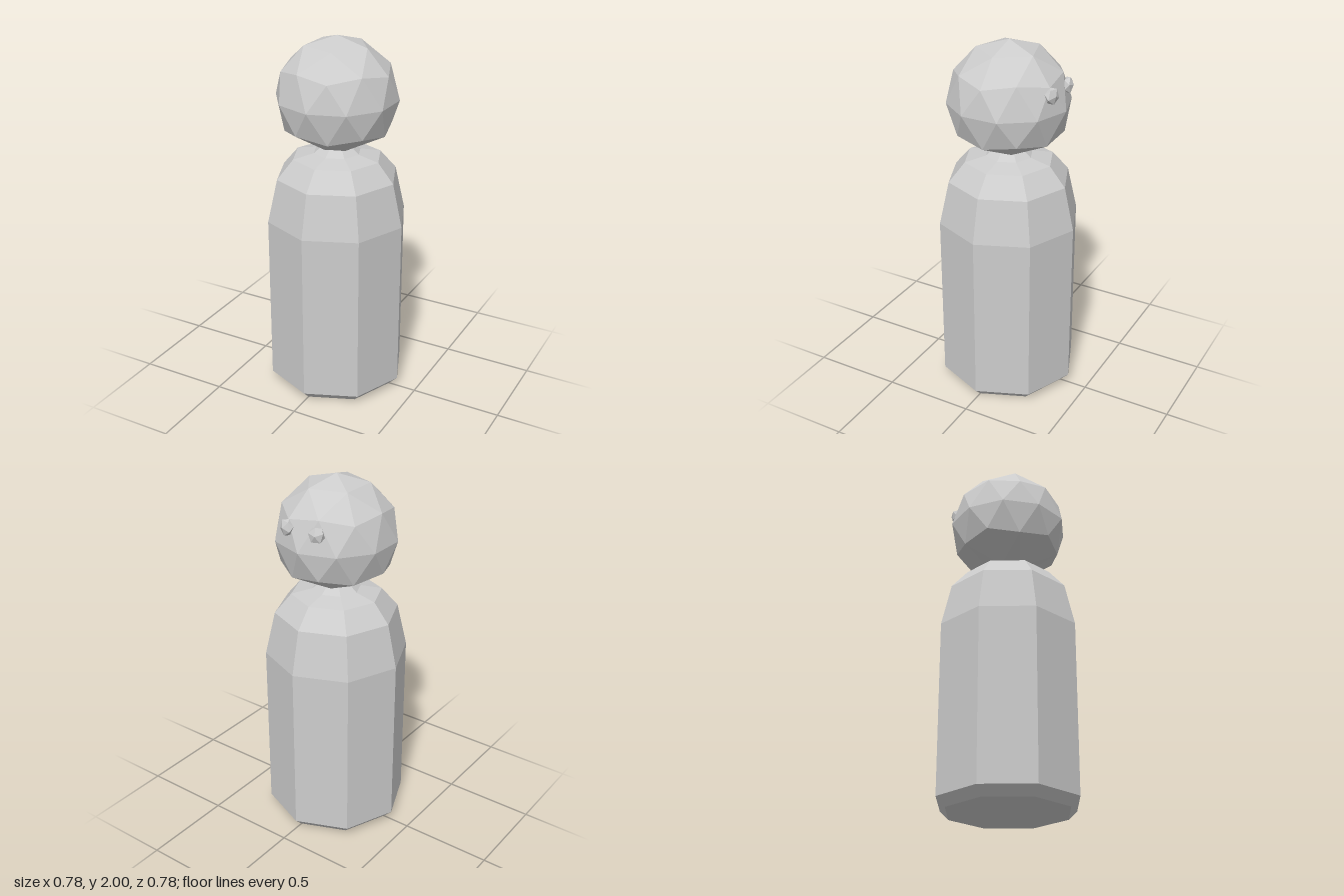
import * as THREE from 'three';

const grey = new THREE.MeshStandardMaterial({ color: 0xcccccc });
grey.name = 'plain grey';

// Faceted normals, one per face
function faceted(geometry) {
  const g = geometry.index ? geometry.toNonIndexed() : geometry;
  g.computeVertexNormals();
  return g;
}

// Icosphere with a vertex at each pole of the y axis
function icosphere(radius, detail) {
  return new THREE.IcosahedronGeometry(radius, detail).rotateZ(-Math.atan(2 / (1 + Math.sqrt(5))));
}

function part(name, geometry) {
  const mesh = new THREE.Mesh(faceted(geometry), grey);
  mesh.name = name;
  return mesh;
}

export function createModel() {
  const model = new THREE.Group();
  model.name = 'pegFigure';

  // Eight-sided body with bevelled foot, sloping shoulders and short neck
  const profile = [
    [0, 0], [0.34, 0], [0.39, 0.05], [0.39, 1.0], [0.335, 1.24],
    [0.245, 1.345], [0.13, 1.37], [0.085, 1.405], [0, 1.405],
  ].map(([r, y]) => new THREE.Vector2(r, y));
  model.add(part('body', new THREE.LatheGeometry(profile, 8)));

  // Head: the lowest ring and pole are drawn in to meet the neck
  const headY = 1.67, neckY = 1.4, neckRadius = 0.095;
  const headGeometry = icosphere(0.33, 1);
  const p = headGeometry.attributes.position;
  for (let i = 0; i < p.count; i++) {
    if (p.getY(i) > -0.2) continue;
    const r = Math.hypot(p.getX(i), p.getZ(i));
    const k = r > 0.01 ? neckRadius / r : 0;
    p.setXYZ(i, p.getX(i) * k, neckY - headY, p.getZ(i) * k);
  }
  const head = part('head', headGeometry);
  head.position.y = headY;
  model.add(head);

  // Flattened eyes, each turned to follow the curve of the head
  for (const side of [-1, 1]) {
    const eye = part(side > 0 ? 'leftEye' : 'rightEye', icosphere(0.047, 0).scale(1, 0.6, 1));
    const outward = new THREE.Vector3(side * 0.28, 0.08, -1).normalize();
    eye.quaternion.setFromUnitVectors(new THREE.Vector3(0, 1, 0), outward);
    eye.position.set(side * 0.093, 1.777, -0.293);
    model.add(eye);
  }
  return model;
}
